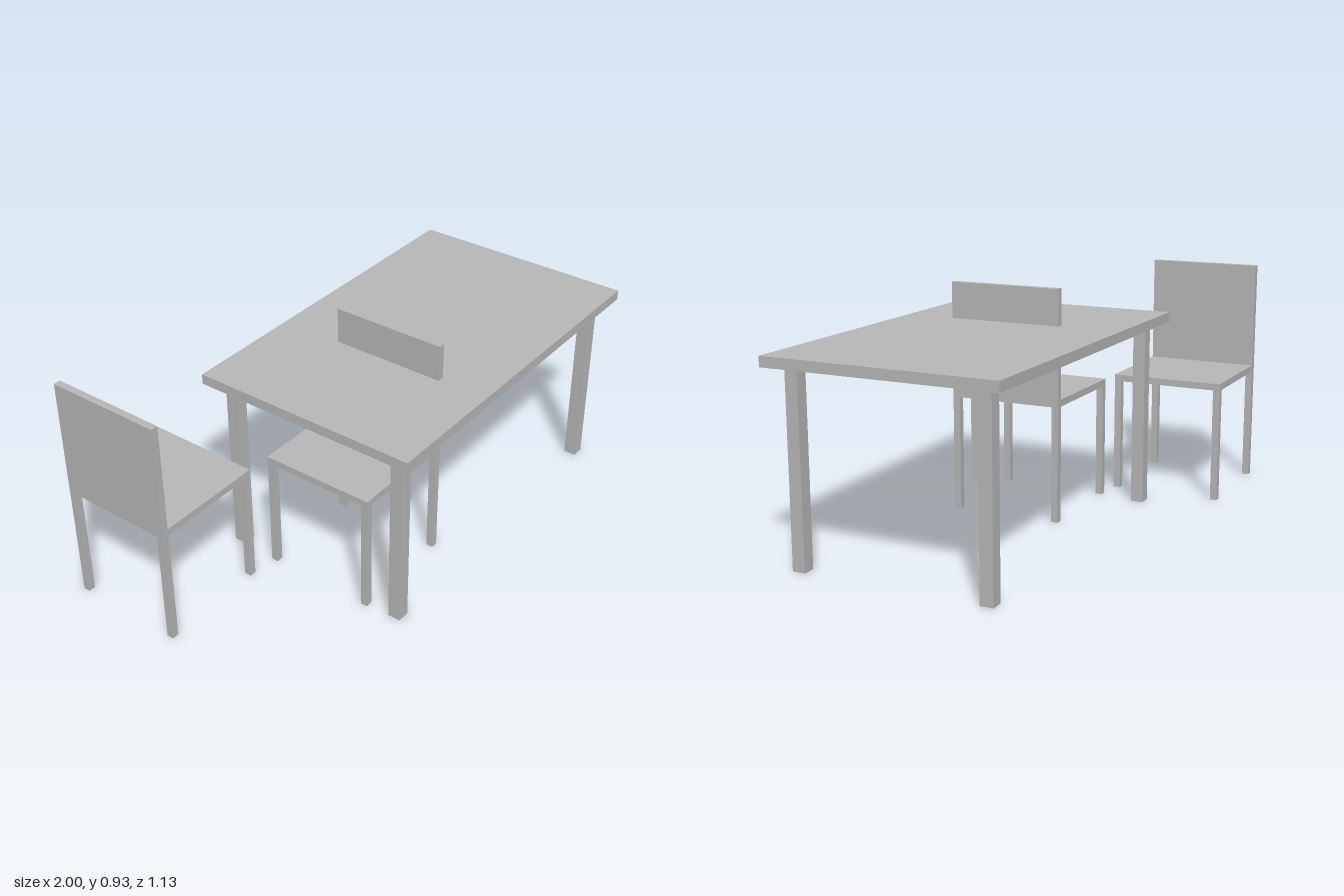
import * as THREE from 'three';

const grey = new THREE.MeshStandardMaterial({ color: 0xb8b8b8 });
grey.name = 'grey';

// Box given by its centre in x and z, its bottom and its top
function box(name, x, z, width, depth, bottom, top) {
  const mesh = new THREE.Mesh(new THREE.BoxGeometry(width, top - bottom, depth), grey);
  mesh.name = name;
  mesh.position.set(x, (bottom + top) / 2, z);
  return mesh;
}

// Four square legs, inset from the corners of a width x depth slab
function addLegs(group, width, depth, size, inset, height) {
  const x = width / 2 - inset - size / 2;
  const z = depth / 2 - inset - size / 2;
  for (const sx of [-1, 1]) {
    for (const sz of [-1, 1]) group.add(box('leg', sx * x, sz * z, size, size, 0, height));
  }
}

function createTable() {
  const table = new THREE.Group();
  table.name = 'table';
  table.add(box('tableTop', 0, 0, 1.486, 0.924, 0.744, 0.784));
  addLegs(table, 1.486, 0.924, 0.051, 0.06, 0.744);
  return table;
}

// Chair with its backrest on the -x side
function createChair(name) {
  const size = 0.463, thick = 0.028, seatBottom = 0.465;
  const chair = new THREE.Group();
  chair.name = name;
  chair.add(box('seat', thick / 2, 0, size - thick, size, seatBottom, seatBottom + thick));
  chair.add(box('backrest', (thick - size) / 2, 0, thick, size, seatBottom, 0.928));
  addLegs(chair, size, size, thick, 0, seatBottom);
  return chair;
}

export function createModel() {
  const model = new THREE.Group();
  model.name = 'diningSet';

  const table = createTable();
  table.position.set(0.257, 0, 0.103);

  const outerChair = createChair('outerChair');
  outerChair.position.set(-0.769, 0, -0.333);

  // Chair tucked under the table, turned the other way
  const tuckedChair = createChair('tuckedChair');
  tuckedChair.position.set(-0.204, 0, 0.13);
  tuckedChair.rotation.y = Math.PI;

  model.add(table, outerChair, tuckedChair);
  return model;
}
